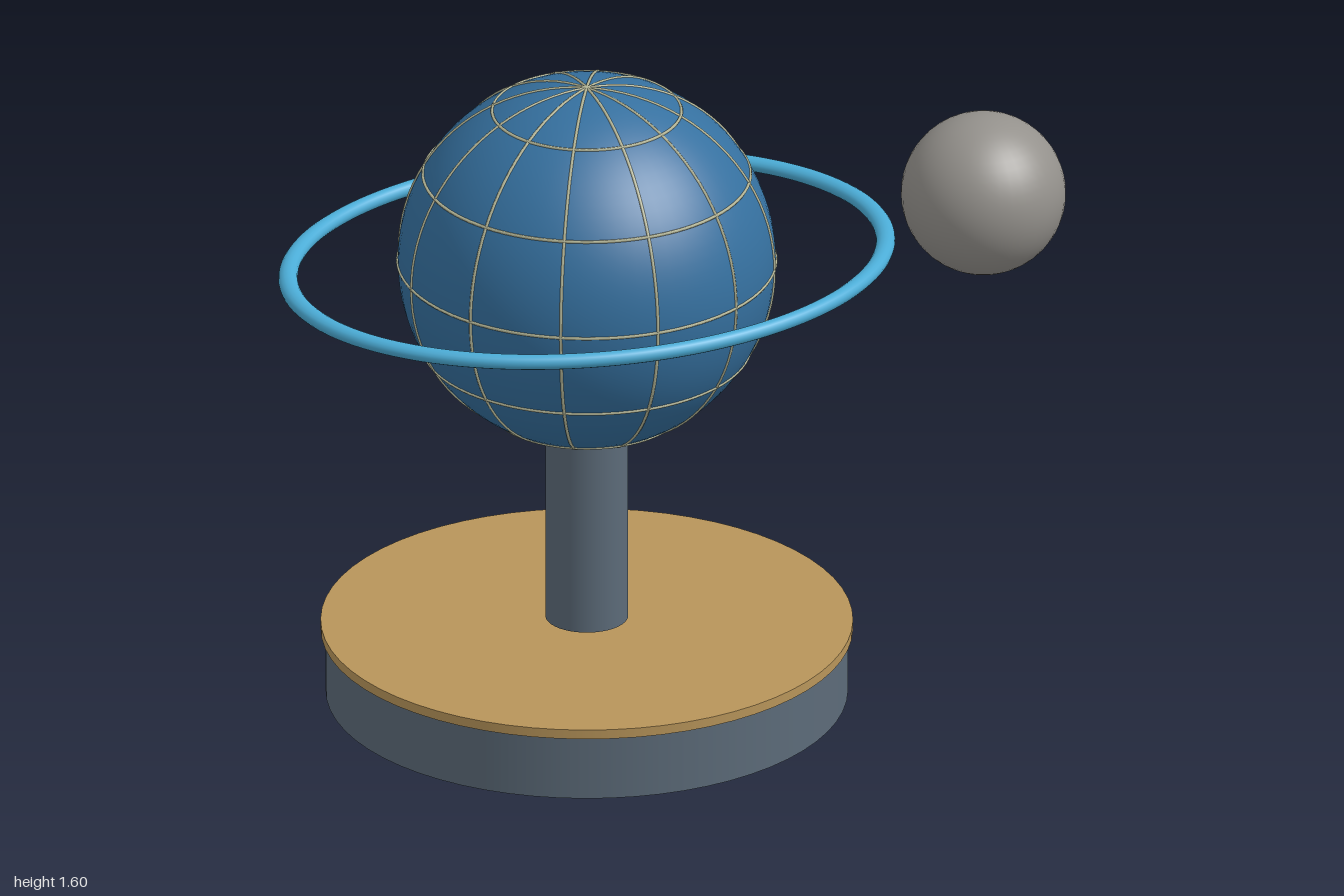
import * as THREE from 'three';

const paint = (name, color) => {
  const m = new THREE.MeshStandardMaterial({ color });
  m.name = name;
  return m;
};

export function createModel() {
  const slate = paint('slate', 0x5c6b79);
  const gold = paint('gold', 0xb8955a);
  const blue = paint('globe blue', 0x35709f);
  const pale = paint('pale line', 0xb3b596);
  const cyan = paint('ring cyan', 0x4bacd6);
  const grey = paint('moon grey', 0x94918c);

  const model = new THREE.Group();
  model.name = 'globeStand';
  const CX = -0.232, CY = 1.14, R = 0.456;

  const add = (name, geometry, material, x, y, parent = model) => {
    const mesh = new THREE.Mesh(geometry, material);
    mesh.name = name;
    mesh.position.set(x, y, 0);
    parent.add(mesh);
    return mesh;
  };

  // Stand: drum, overhanging top plate and post
  add('base', new THREE.CylinderGeometry(0.63, 0.63, 0.165, 64), slate, CX, 0.0825);
  add('basePlate', new THREE.CylinderGeometry(0.642, 0.642, 0.024, 64), gold, CX, 0.175);
  add('post', new THREE.CylinderGeometry(0.1, 0.1, 0.523, 40), slate, CX, 0.4585);

  // Globe
  const globe = new THREE.Group();
  globe.name = 'globe';
  globe.position.set(CX, CY, 0);
  model.add(globe);
  add('sphere', new THREE.SphereGeometry(R, 64, 48), blue, 0, 0, globe);

  // Meridians every 30 degrees: six full circles
  for (let i = 0; i < 6; i++) {
    const line = add('meridian', new THREE.TorusGeometry(R, 0.004, 6, 96), pale, 0, 0, globe);
    line.rotation.y = (i * Math.PI) / 6;
  }
  // Parallels every 30 degrees
  for (let i = -2; i <= 2; i++) {
    const a = (i * Math.PI) / 6;
    const line = add('parallel', new THREE.TorusGeometry(R * Math.cos(a), 0.004, 6, 96), pale, 0, R * Math.sin(a), globe);
    line.rotation.x = Math.PI / 2;
  }

  // Oval orbit ring, stretched along x
  const ring = new THREE.TorusGeometry(0.571, 0.0185, 16, 128).rotateX(Math.PI / 2).scale(1.3, 1, 1);
  add('orbitRing', ring, cyan, CX, CY + 0.003);

  // Moon
  add('moon', new THREE.SphereGeometry(0.199, 40, 28), grey, 0.8, CY);

  return model;
}
